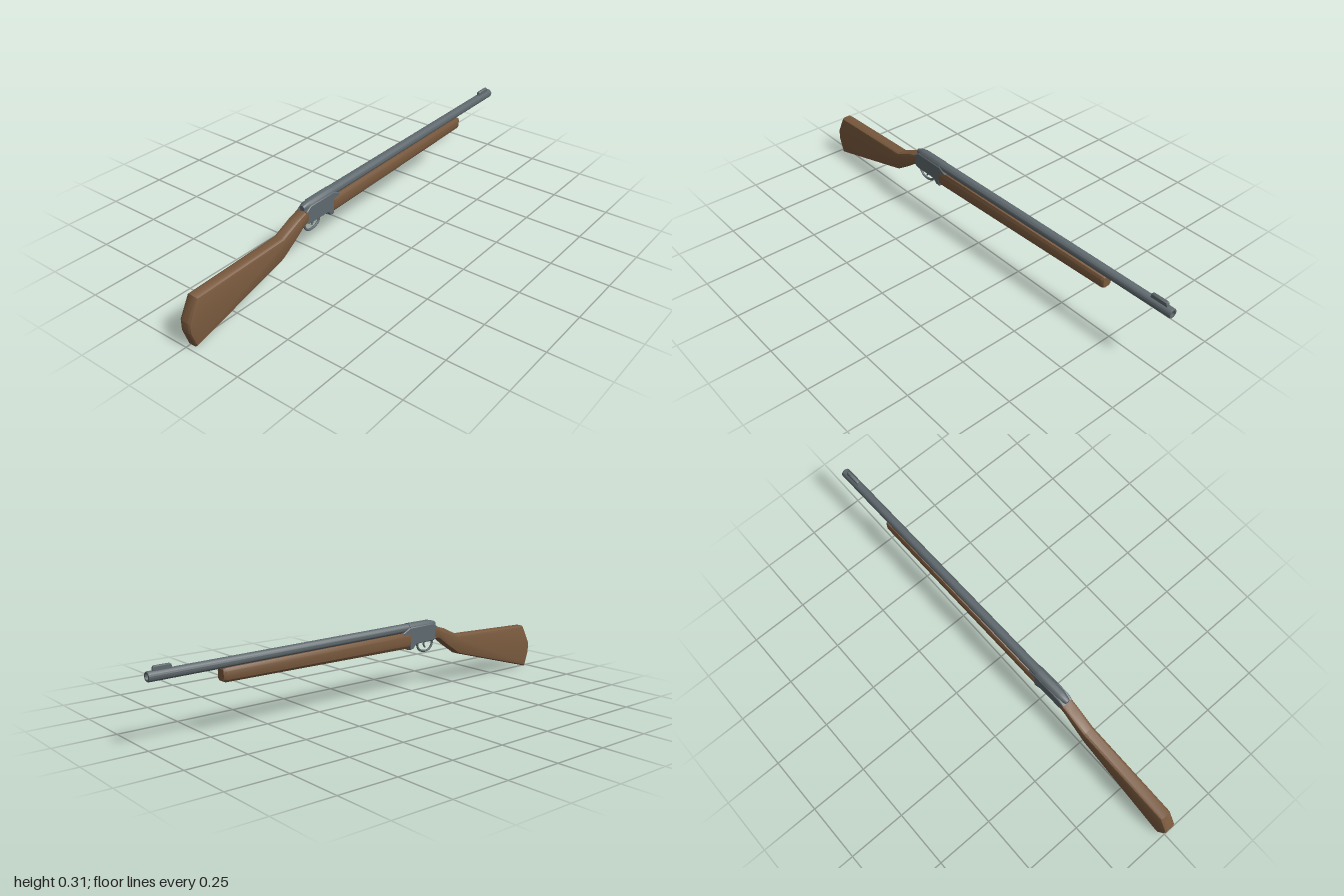
import * as THREE from 'three';
import { toCreasedNormals } from 'three/addons/utils/BufferGeometryUtils.js';

const wood = new THREE.MeshStandardMaterial({ color: 0x7a5a3e });
wood.name = 'walnut wood';
const steel = new THREE.MeshStandardMaterial({ color: 0x5f696e });
steel.name = 'blued steel';

function add(parent, name, geometry, material) {
  const mesh = new THREE.Mesh(toCreasedNormals(geometry, 0.6), material);
  mesh.name = name;
  parent.add(mesh);
  return mesh;
}

// Side outline given as [z, y], extruded across x to a full width, edges beveled inward
function sidePlate(points, width, bevelIn = 0, bevelDeep = 0, segments = 1) {
  const shape = new THREE.Shape(points.map(([z, y]) => new THREE.Vector2(-z, y)));
  const depth = width - 2 * bevelDeep;
  const geo = new THREE.ExtrudeGeometry(shape, {
    depth, bevelEnabled: bevelIn > 0, bevelSize: bevelIn, bevelOffset: -bevelIn,
    bevelThickness: bevelDeep, bevelSegments: segments,
  });
  return geo.translate(0, 0, -depth / 2).rotateY(Math.PI / 2);
}

// Profile given as [z, radius] from rear to front, turned about the z axis
function turned(points, sides = 18) {
  const geo = new THREE.LatheGeometry(points.map(([z, r]) => new THREE.Vector2(r, -z)), sides);
  return geo.rotateX(-Math.PI / 2);
}

// Thin bent rod along [z, y] points
function rod(points, radius) {
  const path = new THREE.CatmullRomCurve3(points.map(([z, y]) => new THREE.Vector3(0, y, z)));
  return new THREE.TubeGeometry(path, 20, radius, 8);
}

export function createModel() {
  const model = new THREE.Group();
  model.name = 'rifle';

  // Shoulder stock with wrist and angled butt
  const stock = add(model, 'stock', sidePlate([
    [0.365, 0.222], [0.40, 0.212], [0.45, 0.175], [0.521, 0.128], [0.977, 0.001],
    [1.0, 0.07], [1.0, 0.115], [0.955, 0.2], [0.516, 0.216], [0.43, 0.256], [0.365, 0.276],
  ], 0.054, 0.016, 0.0115, 2), wood);
  stock.position.x = 0.0075;

  // Barrelled action, turned very slightly to one side
  const action = new THREE.Group();
  action.name = 'barrelledAction';
  action.position.x = 0.0012;
  action.rotation.y = 0.0193;
  model.add(action);

  // Barrel with a hollow muzzle
  const barrel = add(action, 'barrel', turned([
    [0.24, 0], [0.24, 0.0205], [-0.995, 0.0195], [-1, 0.018], [-1, 0.012], [-0.93, 0.012], [-0.93, 0],
  ]), steel);
  barrel.position.y = 0.279;
  barrel.rotation.x = -0.006;

  // Front sight
  add(action, 'frontSight', sidePlate([
    [-0.90, 0.285], [-0.98, 0.285], [-0.976, 0.306], [-0.972, 0.309], [-0.91, 0.309], [-0.905, 0.306],
  ], 0.015, 0.003, 0.004), steel);

  // Receiver: rounded top over a flat-sided frame
  const top = add(action, 'receiverTop', turned([
    [0.387, 0], [0.387, 0.011], [0.372, 0.016], [0.345, 0.0222], [0.225, 0.0222], [0.222, 0],
  ]), steel);
  top.position.y = 0.28;
  add(action, 'receiverFrame', sidePlate([
    [0.387, 0.27], [0.385, 0.22], [0.365, 0.212], [0.262, 0.21], [0.245, 0.192], [0.226, 0.188],
    [0.222, 0.2], [0.222, 0.238], [0.19, 0.243], [0.185, 0.265], [0.222, 0.285], [0.36, 0.287],
  ], 0.05, 0.003, 0.003), steel);

  // Small catch below the receiver
  add(action, 'catch', sidePlate([
    [0.262, 0.212], [0.248, 0.191], [0.229, 0.185], [0.222, 0.192], [0.228, 0.212],
  ], 0.022), steel);

  // Trigger and its guard
  add(action, 'triggerGuard', rod([
    [0.376, 0.22], [0.374, 0.188], [0.355, 0.169], [0.32, 0.167], [0.294, 0.18], [0.285, 0.215],
  ], 0.005), steel);
  add(action, 'trigger', rod([[0.332, 0.216], [0.326, 0.196], [0.334, 0.181]], 0.004), steel);

  // Forend: chamfered section, narrowing toward the tip
  const section = new THREE.Shape([
    [-0.016, 0.195], [0.016, 0.195], [0.026, 0.208], [0.028, 0.225], [0.028, 0.25],
    [0.022, 0.265], [-0.022, 0.265], [-0.028, 0.25], [-0.028, 0.225], [-0.026, 0.208],
  ].map(([x, y]) => new THREE.Vector2(x, y)));
  const forend = new THREE.ExtrudeGeometry(section, {
    depth: 0.915, bevelSize: 0.006, bevelOffset: -0.006, bevelThickness: 0.01, bevelSegments: 1,
  });
  forend.translate(0, 0, -0.695);
  const p = forend.attributes.position;
  for (let i = 0; i < p.count; i++) {
    const t = (0.23 - p.getZ(i)) / 0.935;
    p.setX(i, p.getX(i) * (1 - 0.1 * t));
    p.setY(i, p.getY(i) + t * (0.009 - 0.016 * (p.getY(i) - 0.195) / 0.07));
  }
  add(action, 'forend', forend, wood);

  return model;
}
